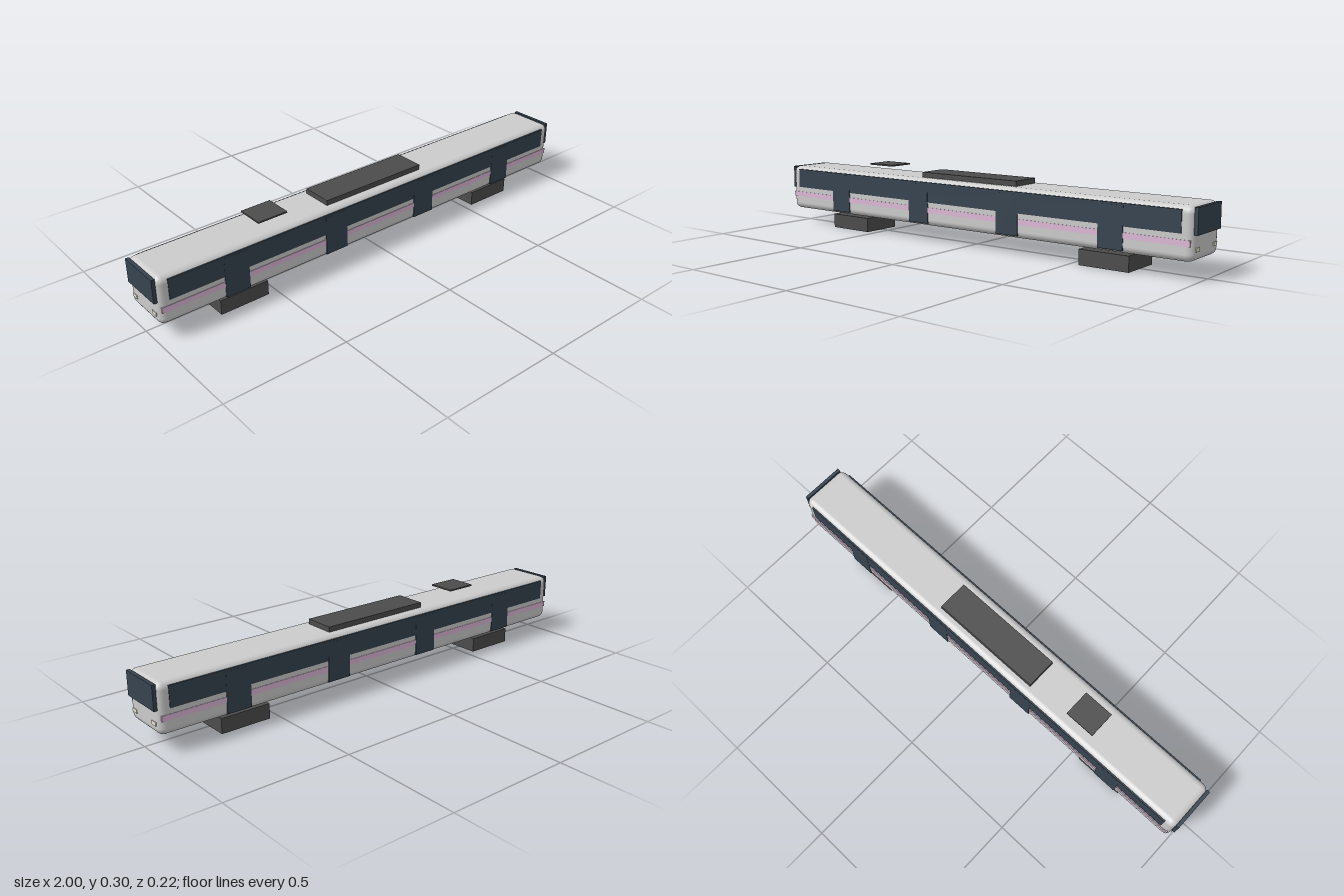
import * as THREE from 'three';
import { RoundedBoxGeometry } from 'three/addons/geometries/RoundedBoxGeometry.js';

const material = (color) => new THREE.MeshStandardMaterial({ color });

export function createModel() {
  const car = new THREE.Group();
  car.name = 'railCar';
  const grey = material(0xcccccc);
  const dark = material(0x4c4c4c);
  const glass = material(0x36434f);
  const pink = material(0xdcb8d6);
  const cream = material(0xeae6d2);

  const add = (name, geometry, mat, x, y, z) => {
    const mesh = new THREE.Mesh(geometry, mat);
    mesh.name = name;
    mesh.position.set(x, y, z);
    car.add(mesh);
  };
  // box given by its lower and upper corners
  const box = (name, mat, [x0, y0, z0], [x1, y1, z1]) =>
    add(name, new THREE.BoxGeometry(x1 - x0, y1 - y0, z1 - z0), mat,
      (x0 + x1) / 2, (y0 + y1) / 2, (z0 + z1) / 2);

  // body shell with softened edges
  add('body', new RoundedBoxGeometry(1.98, 0.193, 0.209, 3, 0.027), grey, 0, 0.1645, 0);

  // long sides: window band, stripe and four doors
  for (const s of [-1, 1]) {
    const side = s > 0 ? 'Left' : 'Right';
    const panel = (name, mat, x, w, y0, y1, out) =>
      add(name + side, new THREE.BoxGeometry(w, y1 - y0, 0.006), mat,
        x, (y0 + y1) / 2, s * (out - 0.003));
    panel('windowBand', glass, 0, 1.894, 0.166, 0.248, 0.107);
    panel('stripe', pink, 0, 1.96, 0.123, 0.145, 0.1062);
    for (const x of [-0.676, -0.225, 0.225, 0.676]) {
      panel('door', glass, x, 0.102, 0.079, 0.24, 0.1075);
    }
  }

  // both ends: windscreen and a pair of headlights
  for (const s of [-1, 1]) {
    add('windscreen', new THREE.BoxGeometry(0.014, 0.095, 0.182), glass, s * 0.993, 0.2098, 0);
    for (const z of [-0.068, 0.068]) {
      add('headlight', new THREE.BoxGeometry(0.01, 0.014, 0.028), cream, s * 0.988, 0.111, z);
    }
    // bogie under each end
    add('bogie', new THREE.BoxGeometry(0.206, 0.06, 0.174), dark, s * 0.64, 0.03, 0);
  }

  // roof equipment
  box('roofUnit', dark, [-0.238, 0.255, -0.064], [0.238, 0.282, 0.064]);
  box('currentCollector', dark, [-0.544, 0.291, -0.056], [-0.416, 0.297, 0.056]);

  return car;
}
